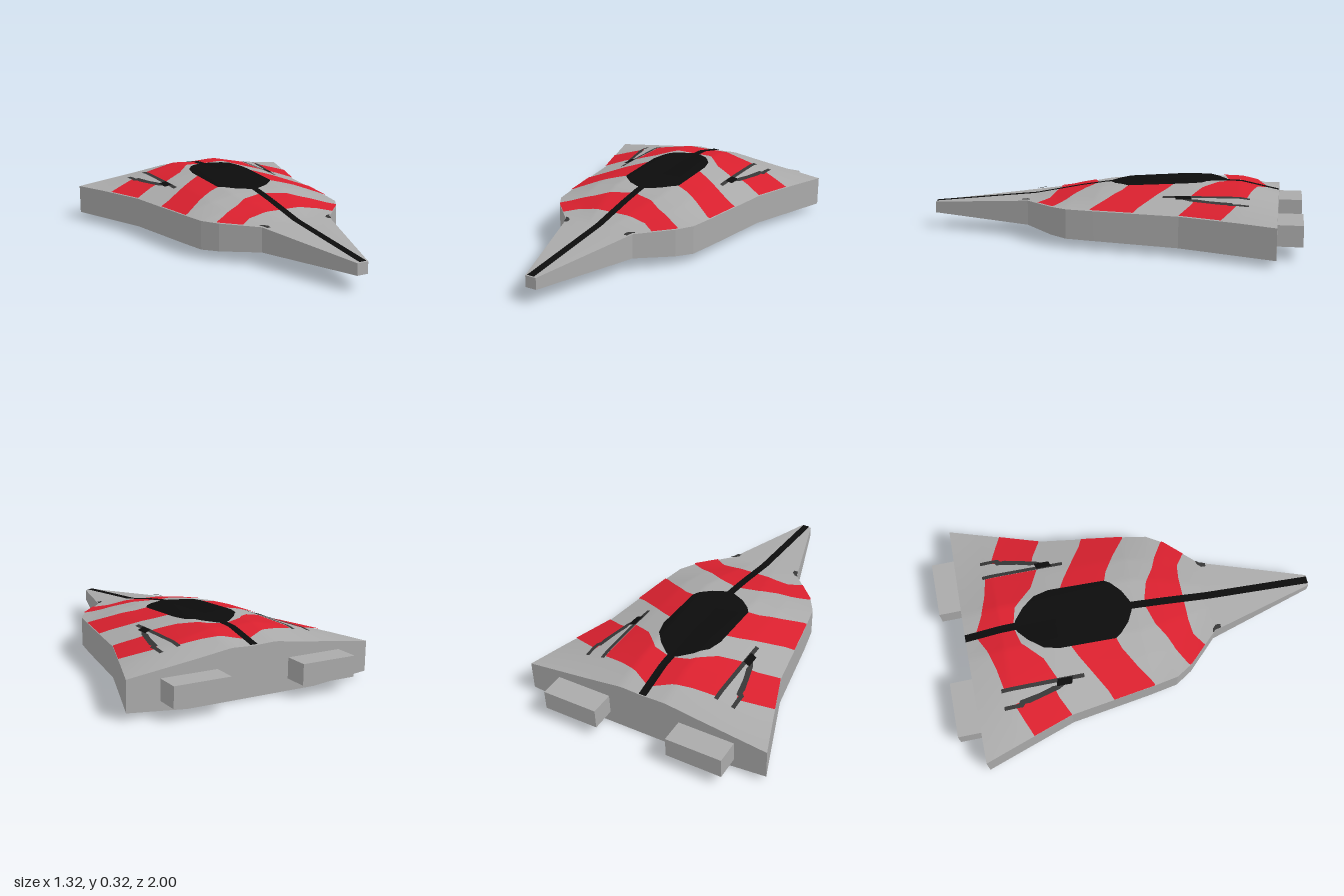
import * as THREE from 'three';

// Hull stations, nose to tail: z, half width, edge top y, centre y,
// ridge x/y, shoulder x/y, edge bottom y, belly half width, belly y
const STATIONS = [
  [1.0, 0.03, 0.14, 0.14, 0.01, 0.14, 0.02, 0.14, 0.08, 0.02, 0.08],
  [0.43, 0.2, 0.195, 0.2, 0.06, 0.2, 0.13, 0.198, 0.065, 0.1, 0.062],
  [0.27, 0.355, 0.197, 0.232, 0.1, 0.232, 0.2, 0.215, 0.052, 0.18, 0.048],
  [0.18, 0.41, 0.197, 0.25, 0.12, 0.25, 0.25, 0.23, 0.046, 0.2, 0.042],
  [0.03, 0.437, 0.197, 0.275, 0.15, 0.275, 0.28, 0.25, 0.045, 0.23, 0.032],
  [-0.4, 0.5, 0.197, 0.3, 0.12, 0.311, 0.28, 0.268, 0.04, 0.3, 0.004],
  [-0.68, 0.594, 0.195, 0.295, 0.12, 0.305, 0.27, 0.272, 0.037, 0.33, 0.004],
  [-0.875, 0.66, 0.19, 0.255, 0.12, 0.26, 0.3, 0.235, 0.035, 0.35, 0.004],
];
const SPANS = STATIONS.length - 1;
const lerp = THREE.MathUtils.lerp;

// Walk along a list of number rows, t from 0 to 1
function along(rows, t) {
  const s = t * (rows.length - 1);
  const i = Math.min(Math.floor(s), rows.length - 2);
  return rows[i].map((a, k) => lerp(a, rows[i + 1][k], s - i));
}

function section(z) {
  let i = 0;
  while (i < SPANS - 1 && z < STATIONS[i + 1][0]) i++;
  const a = STATIONS[i], b = STATIONS[i + 1];
  const t = THREE.MathUtils.clamp((a[0] - z) / (a[0] - b[0]), 0, 1);
  return a.map((n, k) => lerp(n, b[k], t));
}

function profileY(points, x) {
  x = Math.abs(x);
  for (let i = 0; i < points.length - 1; i++) {
    const [x0, y0] = points[i], [x1, y1] = points[i + 1];
    if (x <= x1) return lerp(y0, y1, (x - x0) / (x1 - x0));
  }
  return points[points.length - 1][1];
}

function topY(x, z) {
  const [, w, ye, yc, x1, y1, x2, y2] = section(z);
  return profileY([[0, yc], [x1, y1], [x2, y2], [w, ye]], x);
}

function bellyY(x, z) {
  const s = section(z);
  return profileY([[0, s[10]], [s[9], s[10]], [s[1], s[8]]], x);
}

// Surface grid, facing the direction du x dv
function grid(nu, nv, f) {
  const pos = [], index = [];
  for (let j = 0; j <= nv; j++) {
    for (let i = 0; i <= nu; i++) pos.push(...f(i / nu, j / nv));
  }
  for (let j = 0; j < nv; j++) {
    for (let i = 0; i < nu; i++) {
      const a = j * (nu + 1) + i, b = a + 1, c = a + nu + 1, d = c + 1;
      index.push(a, b, d, a, d, c);
    }
  }
  const g = new THREE.BufferGeometry();
  g.setAttribute('position', new THREE.Float32BufferAttribute(pos, 3));
  g.setIndex(index);
  g.computeVertexNormals();
  return g;
}

// Painted area on the upper hull; columns are [x, back z, front z]
function patch(columns, side, lift = 0.005, nv = 20) {
  return grid((columns.length - 1) * 6, nv, (u, v) => {
    const [cx, back, front] = along(columns, side > 0 ? u : 1 - u);
    const z = lerp(front, back, v);
    const x = Math.min(cx, section(z)[1]);
    return [x * side, topY(x, z) + lift, z];
  });
}

export function createModel() {
  const model = new THREE.Group();
  const material = (name, color) => {
    const m = new THREE.MeshStandardMaterial({ color });
    m.name = name;
    return m;
  };
  const grey = material('hull grey', 0xaaaaaa);
  const red = material('stripe red', 0xd8202e);
  const black = material('canopy black', 0x0c0c0c);
  const dark = material('vent dark grey', 0x363636);

  const add = (name, geometry, mat) => {
    const mesh = new THREE.Mesh(geometry, mat);
    mesh.name = name;
    model.add(mesh);
    return mesh;
  };
  const zAt = (v) => along(STATIONS, v)[0];

  // Hull shell
  add('upperHull', grid(60, SPANS * 6, (u, v) => {
    const z = zAt(v), x = (2 * u - 1) * section(z)[1];
    return [x, topY(x, z), z];
  }), grey);
  add('belly', grid(40, SPANS * 4, (u, v) => {
    const z = zAt(v), x = (1 - 2 * u) * section(z)[1];
    return [x, bellyY(x, z), z];
  }), grey);
  for (const side of [1, -1]) {
    const wall = grid(1, SPANS, (u, v) => {
      const s = section(zAt(v));
      const t = side > 0 ? u : 1 - u;
      return [side * s[1], lerp(s[2], s[8], t), s[0]];
    });
    const flat = wall.toNonIndexed();
    flat.computeVertexNormals();
    add(side > 0 ? 'leftWall' : 'rightWall', flat, grey);
  }
  for (const [name, z, dir] of [['noseCap', 1, 1], ['rearWall', -0.875, -1]]) {
    add(name, grid(60, 1, (u, v) => {
      const x = dir * (2 * u - 1) * section(z)[1];
      return [x, lerp(bellyY(x, z), topY(x, z), v), z];
    }), grey);
  }

  // Markings, canopy and vents, mirrored
  const stripes = {
    rearStripe: [[0.02, -0.81, -0.61], [0.1, -0.77, -0.59], [0.2, -0.74, -0.49], [0.31, -0.72, -0.44]],
    rearOuterStripe: [[0.365, -0.53, -0.46], [0.4, -0.68, -0.45], [0.5, -0.64, -0.4], [0.57, -0.61, -0.4]],
    middleStripe: [[0.16, -0.34, -0.1], [0.22, -0.31, -0.08], [0.32, -0.25, -0.02], [0.42, -0.19, 0.05], [0.47, -0.17, 0.06]],
    frontStripe: [[0.02, 0.09, 0.3], [0.12, 0.12, 0.3], [0.2, 0.17, 0.31], [0.27, 0.2, 0.36], [0.37, 0.26, 0.27]],
  };
  const canopy = [[0, -0.61, 0.02], [0.03, -0.6, 0.01], [0.09, -0.55, -0.02], [0.145, -0.48, -0.07], [0.165, -0.4, -0.1]];
  const vents = {
    longVent: [[0.31, -0.735, -0.3], [0.33, -0.735, -0.3]],
    outerVent: [[0.4, -0.735, -0.62], [0.42, -0.735, -0.64]],
    ventBend: [[0.345, -0.47, -0.4], [0.365, -0.54, -0.44], [0.385, -0.65, -0.52], [0.405, -0.66, -0.6]],
    noseInlet: [[0.17, 0.44, 0.465], [0.19, 0.42, 0.465], [0.21, 0.415, 0.45]],
  };
  for (const side of [1, -1]) {
    const label = side > 0 ? 'Left' : 'Right';
    for (const key in stripes) add(key + label, patch(stripes[key], side), red);
    for (const key in vents) add(key + label, patch(vents[key], side, 0.007), dark);
    add('ventMouth' + label, patch([[0.315, -0.44, -0.36], [0.35, -0.45, -0.37]], side, 0.009), black);
    add('canopy' + label, patch(canopy, side, 0.006, 30), black);
    add('spineLine' + label, patch([[0, -0.875, 1], [0.02, -0.875, 1]], side, 0.005, 90), black);

    // Engine block
    const engine = add('engine' + label, new THREE.BoxGeometry(0.295, 0.105, 0.14), grey);
    engine.position.set(side * 0.343, 0.118, -0.93);
  }

  // Belly hatch outline with clipped corners
  const hatch = (w, z0, z1, c) => [
    [-w + c, z0], [w - c, z0], [w, z0 + c], [w, z1 - c],
    [w - c, z1], [-w + c, z1], [-w, z1 - c], [-w, z0 + c], [-w + c, z0],
  ];
  const outer = hatch(0.19, -0.72, 0.21, 0.06), inner = hatch(0.172, -0.702, 0.192, 0.053);
  add('hatchOutline', grid(96, 1, (u, v) => {
    const a = along(outer, u), b = along(inner, u);
    const x = lerp(a[0], b[0], v), z = lerp(a[1], b[1], v);
    return [x, bellyY(x, z) - 0.004, z];
  }), black);

  return model;
}
